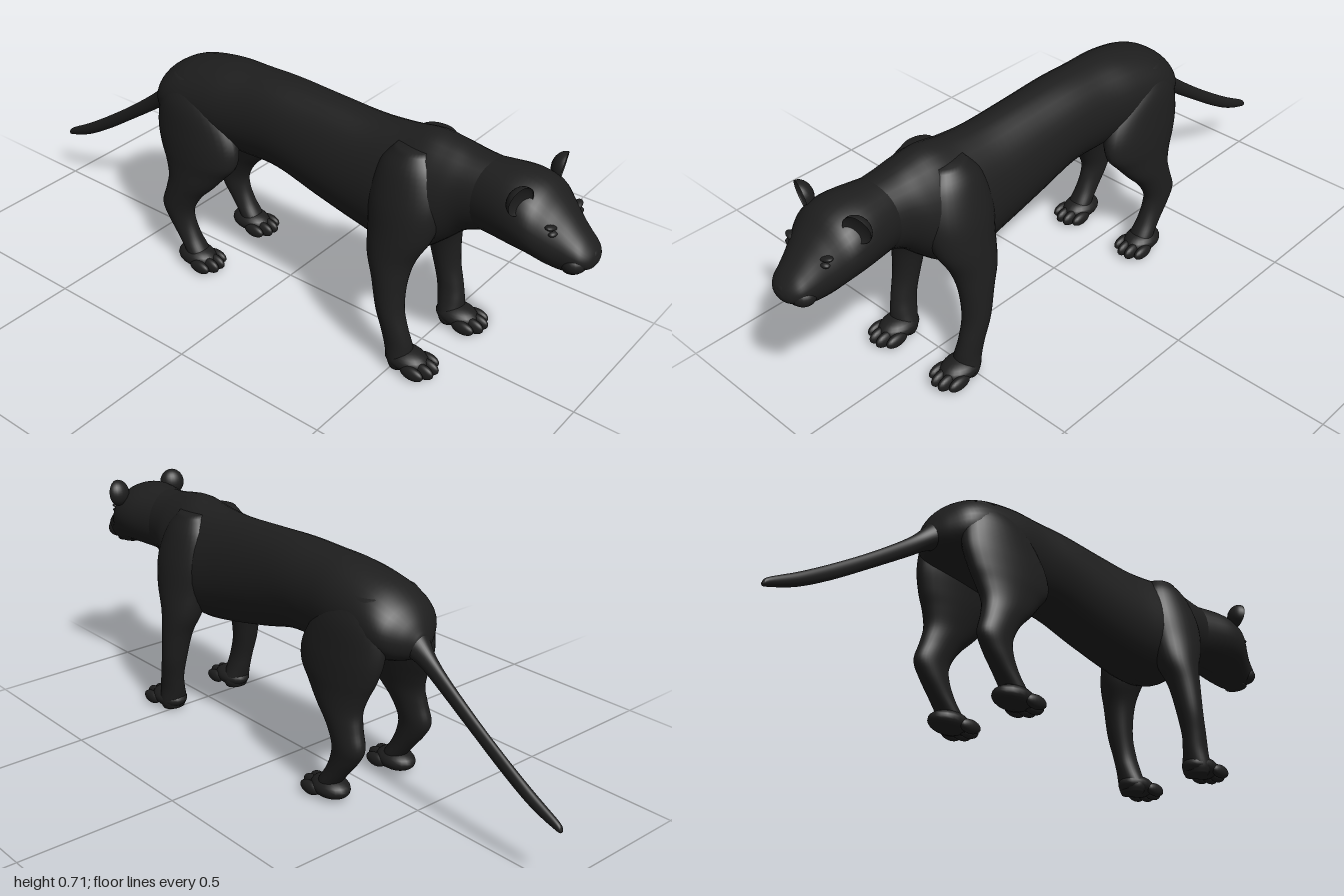
import * as THREE from 'three';

const fur = new THREE.MeshStandardMaterial({ color: 0x1e1e1e });
fur.name = 'blackFur';

// Smooth skin through oval sections [x, y, z, halfWidth, halfDepth, taper].
// Rings lie across z (listed back to front) or, if upright, across y (listed top down).
function loft(name, sections, upright = false, steps = 5, sides = 32) {
  const centres = new THREE.CatmullRomCurve3(
    sections.map((s) => new THREE.Vector3(s[0], s[1], s[2])), false, 'catmullrom', 0.5);
  const radii = new THREE.CatmullRomCurve3(
    sections.map((s) => new THREE.Vector3(s[3], s[4], s[5] || 0)), false, 'catmullrom', 0.5);
  const rings = (sections.length - 1) * steps;
  const pos = [], idx = [];
  for (let i = 0; i <= rings; i++) {
    const c = centres.getPoint(i / rings), r = radii.getPoint(i / rings);
    for (let j = 0; j < sides; j++) {
      const a = (j / sides) * Math.PI * 2;
      const u = Math.cos(a) * r.x * (1 - r.z * Math.sin(a));
      const v = Math.sin(a) * r.y;
      if (upright) pos.push(c.x + u, c.y, c.z + v);
      else pos.push(c.x + u, c.y + v, c.z);
    }
  }
  for (let i = 0; i < rings; i++) {
    for (let j = 0; j < sides; j++) {
      const k = (j + 1) % sides;
      const a = i * sides + j, b = i * sides + k;
      idx.push(a, b, b + sides, a, b + sides, a + sides);
    }
  }
  // End caps
  const first = centres.getPoint(0), last = centres.getPoint(1);
  const n = pos.length / 3, end = rings * sides;
  pos.push(first.x, first.y, first.z, last.x, last.y, last.z);
  for (let j = 0; j < sides; j++) {
    const k = (j + 1) % sides;
    idx.push(n, k, j, n + 1, end + j, end + k);
  }
  const geo = new THREE.BufferGeometry();
  geo.setAttribute('position', new THREE.Float32BufferAttribute(pos, 3));
  geo.setIndex(idx);
  geo.computeVertexNormals();
  const mesh = new THREE.Mesh(geo, fur);
  mesh.name = name;
  return mesh;
}

function blob(name, x, y, z, rx, ry, rz) {
  const mesh = new THREE.Mesh(new THREE.SphereGeometry(1, 20, 14), fur);
  mesh.name = name;
  mesh.position.set(x, y, z);
  mesh.scale.set(rx, ry, rz);
  return mesh;
}

// Section across z given by its top and bottom heights
const span = (z, top, bottom, half, taper = 0) =>
  [0, (top + bottom) / 2, z, half, (top - bottom) / 2, taper];

// Foot pad with four toes
function paw(side, x, z) {
  const g = new THREE.Group();
  g.name = 'paw';
  g.add(blob('footPad', side * x, 0.036, z, 0.05, 0.033, 0.068));
  for (let i = 0; i < 4; i++) {
    const middle = i === 1 || i === 2;
    g.add(blob('toe', side * (x - 0.041 + i * 0.0275), 0.026, z + (middle ? 0.062 : 0.045),
      0.0155, middle ? 0.024 : 0.021, 0.038));
  }
  return g;
}

// Rounded ear with a hollow front
function ear(side) {
  const geo = new THREE.SphereGeometry(1, 24, 18);
  const p = geo.attributes.position;
  for (let i = 0; i < p.count; i++) {
    if (p.getZ(i) > 0) p.setZ(i, -0.45 * p.getZ(i));
  }
  geo.scale(0.041, 0.043, 0.034);
  geo.computeVertexNormals();
  const mesh = new THREE.Mesh(geo, fur);
  mesh.name = side > 0 ? 'leftEar' : 'rightEar';
  mesh.position.set(side * 0.109, 0.668, 0.825);
  mesh.rotation.set(0.15, side * 0.3, 0);
  return mesh;
}

export function createModel() {
  const model = new THREE.Group();
  model.name = 'bigCat';

  model.add(loft('body', [
    span(-0.495, 0.535, 0.49, 0.022),
    span(-0.47, 0.582, 0.465, 0.07),
    span(-0.43, 0.625, 0.45, 0.115),
    span(-0.36, 0.663, 0.435, 0.132),
    span(-0.24, 0.69, 0.415, 0.13),
    span(-0.12, 0.697, 0.412, 0.118),
    span(0, 0.7, 0.41, 0.115),
    span(0.15, 0.695, 0.373, 0.118, 0.05),
    span(0.3, 0.69, 0.342, 0.125, 0.1),
    span(0.41, 0.698, 0.33, 0.135, 0.15),
    span(0.5, 0.712, 0.345, 0.135, 0.15),
    span(0.57, 0.705, 0.4, 0.12, 0.1),
    span(0.63, 0.695, 0.455, 0.1),
    span(0.7, 0.69, 0.485, 0.09),
  ]));

  model.add(loft('tail', [
    [0, 0.165, -1, 0.004, 0.004],
    [0, 0.174, -0.985, 0.01, 0.013],
    [0, 0.213, -0.9, 0.014, 0.021],
    [0, 0.272, -0.8, 0.013, 0.024],
    [0, 0.352, -0.68, 0.014, 0.025],
    [0, 0.438, -0.56, 0.018, 0.03],
    [0, 0.49, -0.5, 0.03, 0.04],
    [0, 0.535, -0.45, 0.06, 0.06],
  ]));

  const head = new THREE.Group();
  head.name = 'head';
  head.add(loft('skull', [
    span(0.62, 0.685, 0.48, 0.08),
    span(0.7, 0.692, 0.483, 0.1),
    span(0.78, 0.695, 0.484, 0.118),
    span(0.84, 0.68, 0.48, 0.118),
    span(0.885, 0.643, 0.464, 0.097),
    span(0.92, 0.61, 0.457, 0.078),
    span(0.95, 0.58, 0.462, 0.066),
    span(0.975, 0.555, 0.478, 0.055),
    span(0.992, 0.535, 0.488, 0.036),
    span(1, 0.518, 0.502, 0.012),
  ]));
  head.add(blob('nose', 0, 0.522, 0.975, 0.03, 0.02, 0.023));
  head.add(blob('lowerLip', 0, 0.467, 0.94, 0.042, 0.01, 0.03));
  model.add(head);

  for (const side of [1, -1]) {
    const label = side > 0 ? 'left' : 'right';
    head.add(ear(side));

    // Eye under a heavy slanted brow
    head.add(blob(label + 'Eye', side * 0.068, 0.586, 0.9, 0.016, 0.008, 0.012));
    const brow = blob(label + 'Brow', side * 0.066, 0.6, 0.893, 0.024, 0.008, 0.014);
    brow.rotation.z = side * 0.25;
    head.add(brow);
    head.add(blob(label + 'Cheek', side * 0.034, 0.503, 0.951, 0.036, 0.03, 0.035));

    const frontLeg = new THREE.Group();
    frontLeg.name = label + 'FrontLeg';
    frontLeg.add(loft('leg', [
      [0.06, 0.675, 0.47, 0.035, 0.05],
      [0.075, 0.62, 0.47, 0.056, 0.09],
      [0.09, 0.53, 0.475, 0.07, 0.112],
      [0.105, 0.44, 0.473, 0.069, 0.1],
      [0.122, 0.36, 0.46, 0.061, 0.074],
      [0.138, 0.29, 0.467, 0.049, 0.053],
      [0.146, 0.2, 0.478, 0.041, 0.042],
      [0.144, 0.13, 0.496, 0.036, 0.041],
      [0.138, 0.08, 0.507, 0.038, 0.042],
      [0.132, 0.03, 0.515, 0.046, 0.038],
      [0.132, 0.006, 0.515, 0.038, 0.03],
    ].map(([x, ...r]) => [side * x, ...r]), true));
    frontLeg.add(paw(side, 0.132, 0.535));
    model.add(frontLeg);

    const hindLeg = new THREE.Group();
    hindLeg.name = label + 'HindLeg';
    hindLeg.add(loft('leg', [
      [0.07, 0.63, -0.33, 0.03, 0.06],
      [0.085, 0.56, -0.31, 0.056, 0.12],
      [0.097, 0.47, -0.285, 0.06, 0.155],
      [0.107, 0.4, -0.275, 0.056, 0.148],
      [0.114, 0.35, -0.283, 0.05, 0.117],
      [0.122, 0.3, -0.297, 0.044, 0.088],
      [0.128, 0.25, -0.325, 0.039, 0.068],
      [0.132, 0.195, -0.347, 0.036, 0.06],
      [0.132, 0.15, -0.335, 0.034, 0.05],
      [0.132, 0.1, -0.305, 0.034, 0.04],
      [0.132, 0.05, -0.27, 0.038, 0.036],
      [0.132, 0.012, -0.258, 0.036, 0.034],
    ].map(([x, ...r]) => [side * x, ...r]), true));
    hindLeg.add(paw(side, 0.132, -0.275));
    model.add(hindLeg);
  }
  return model;
}
